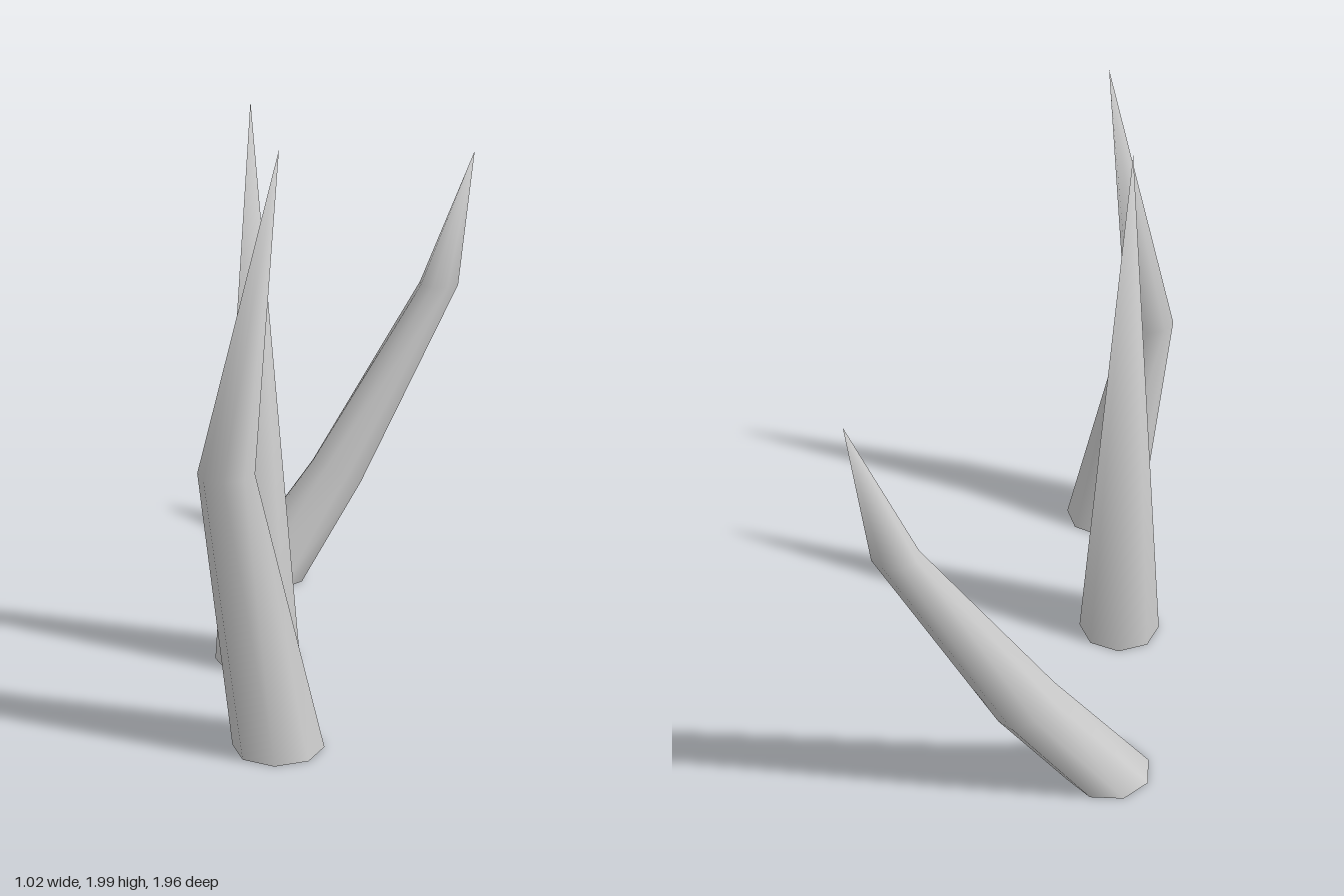
import * as THREE from 'three';

const SIDES = 8;

// Tapered spike: rings from base upward, closed by a single shared tip vertex.
// Each ring: { c: centre, r: radius, tilt: slope of the ring along x and z }
function makeSpike(name, rings, tip, turnDeg) {
  const pos = [], index = [];
  const turn = THREE.MathUtils.degToRad(turnDeg);
  for (const { c, r, tilt = [0, 0] } of rings) {
    for (let i = 0; i < SIDES; i++) {
      const a = turn + (i / SIDES) * Math.PI * 2;
      const dx = r * Math.cos(a), dz = r * Math.sin(a);
      pos.push(c[0] + dx, c[1] + dx * tilt[0] + dz * tilt[1], c[2] + dz);
    }
  }
  pos.push(...tip);
  const apex = rings.length * SIDES;

  for (let k = 0; k < rings.length; k++) {
    for (let i = 0; i < SIDES; i++) {
      const a = k * SIDES + i;
      const b = k * SIDES + ((i + 1) % SIDES);
      if (k === rings.length - 1) index.push(a, apex, b);
      else index.push(a, a + SIDES, b, b, a + SIDES, b + SIDES);
    }
  }

  const geo = new THREE.BufferGeometry();
  geo.setAttribute('position', new THREE.Float32BufferAttribute(pos, 3));
  geo.setIndex(index);
  geo.computeVertexNormals();
  // open at the base, so the inside shows from below
  const mesh = new THREE.Mesh(geo, new THREE.MeshStandardMaterial({ color: 0xcccccc, side: THREE.DoubleSide }));
  mesh.name = name;
  return mesh;
}

export function createModel() {
  const group = new THREE.Group();
  group.name = 'spikes';

  // Front spike, bent once at mid height
  group.add(makeSpike('bentSpike', [
    { c: [-0.265, 0, 0.83], r: 0.15 },
    { c: [-0.42, 0.93, 0.815], r: 0.091 },
  ], [-0.245, 1.96, 0.835], 5));

  // Middle spike, straight cone
  group.add(makeSpike('straightSpike', [
    { c: [-0.337, 0, 0.122], r: 0.15 },
  ], [-0.337, 1.99, 0.122], 0));

  // Rear spike, leaning far to the side with two bends
  group.add(makeSpike('leaningSpike', [
    { c: [-0.31, 0, -0.665], r: 0.152 },
    { c: [-0.03, 0.395, -0.77], r: 0.1, tilt: [-0.5, 0.3] },
    { c: [0.372, 1.11, -0.913], r: 0.078 },
  ], [0.507, 1.62, -0.957], 23));

  return group;
}
